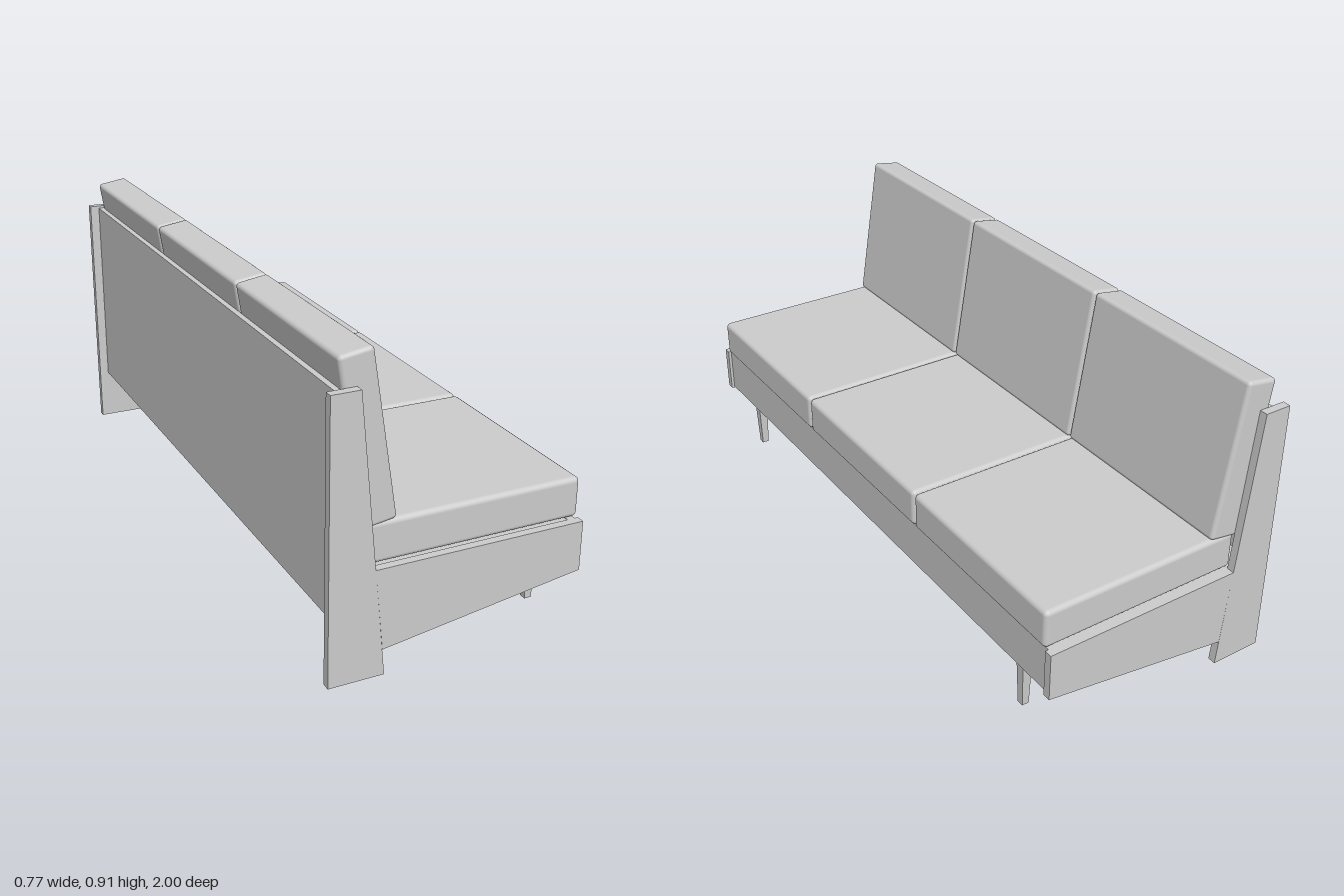
import * as THREE from 'three';
import { RoundedBoxGeometry } from 'three/addons/geometries/RoundedBoxGeometry.js';

const material = new THREE.MeshStandardMaterial({ color: 0xcccccc });
const BOARD = 0.025; // thickness of the end boards

function add(group, name, geometry, x = 0, y = 0, z = 0) {
  const mesh = new THREE.Mesh(geometry, material);
  mesh.name = name;
  mesh.position.set(x, y, z);
  group.add(mesh);
  return mesh;
}

// Board spanning x0..x1 and y0..y1, running the length between the ends
function longBoard(group, name, x0, x1, y0, y1) {
  const geometry = new THREE.BoxGeometry(x1 - x0, y1 - y0, 2 - 2 * BOARD);
  add(group, name, geometry, (x0 + x1) / 2, (y0 + y1) / 2, 0);
}

// Flat board cut to an outline in the x-y plane
function cutBoard(points) {
  const shape = new THREE.Shape(points.map(([x, y]) => new THREE.Vector2(x, y)));
  return new THREE.ExtrudeGeometry(shape, { depth: BOARD, bevelEnabled: false });
}

export function createModel() {
  const sofa = new THREE.Group();
  sofa.name = 'sofa';

  // End boards: tapered back upright and sloping seat side
  const upright = cutBoard([[-0.385, 0], [-0.221, 0], [-0.301, 0.818], [-0.385, 0.818]]);
  const seatSide = cutBoard([[-0.228, 0.077], [0.383, 0.167], [0.383, 0.317], [-0.252, 0.317]]);

  // Tapered square leg
  const leg = new THREE.CylinderGeometry(0.0235, 0.0155, 0.19, 4).toNonIndexed();
  leg.rotateY(Math.PI / 4);
  leg.computeVertexNormals();

  for (const side of [-1, 1]) {
    const z = side > 0 ? 1 - BOARD : -1;
    add(sofa, 'backUpright', upright, 0, 0, z);
    add(sofa, 'seatSide', seatSide, 0, 0, z);
    add(sofa, 'frontLeg', leg, 0.337, 0.095, side * 0.825);
  }

  // Seat frame and back panel
  longBoard(sofa, 'frontRail', 0.35, 0.373, 0.17, 0.317);
  longBoard(sofa, 'seatDeck', -0.337, 0.35, 0.188, 0.315);
  longBoard(sofa, 'backPanel', -0.355, -0.337, 0.17, 0.81);

  // Three seat cushions with three leaning back cushions
  const pitch = 0.65;
  const seatCushion = new RoundedBoxGeometry(0.647, 0.12, pitch - 0.004, 4, 0.015);
  const backCushion = new RoundedBoxGeometry(0.1, 0.484, pitch - 0.004, 4, 0.012);
  for (const i of [-1, 0, 1]) {
    add(sofa, 'seatCushion', seatCushion, 0.06, 0.378, i * pitch);
    const back = add(sofa, 'backCushion', backCushion, -0.265, 0.668, i * pitch);
    back.rotation.z = THREE.MathUtils.degToRad(9);
  }
  return sofa;
}
